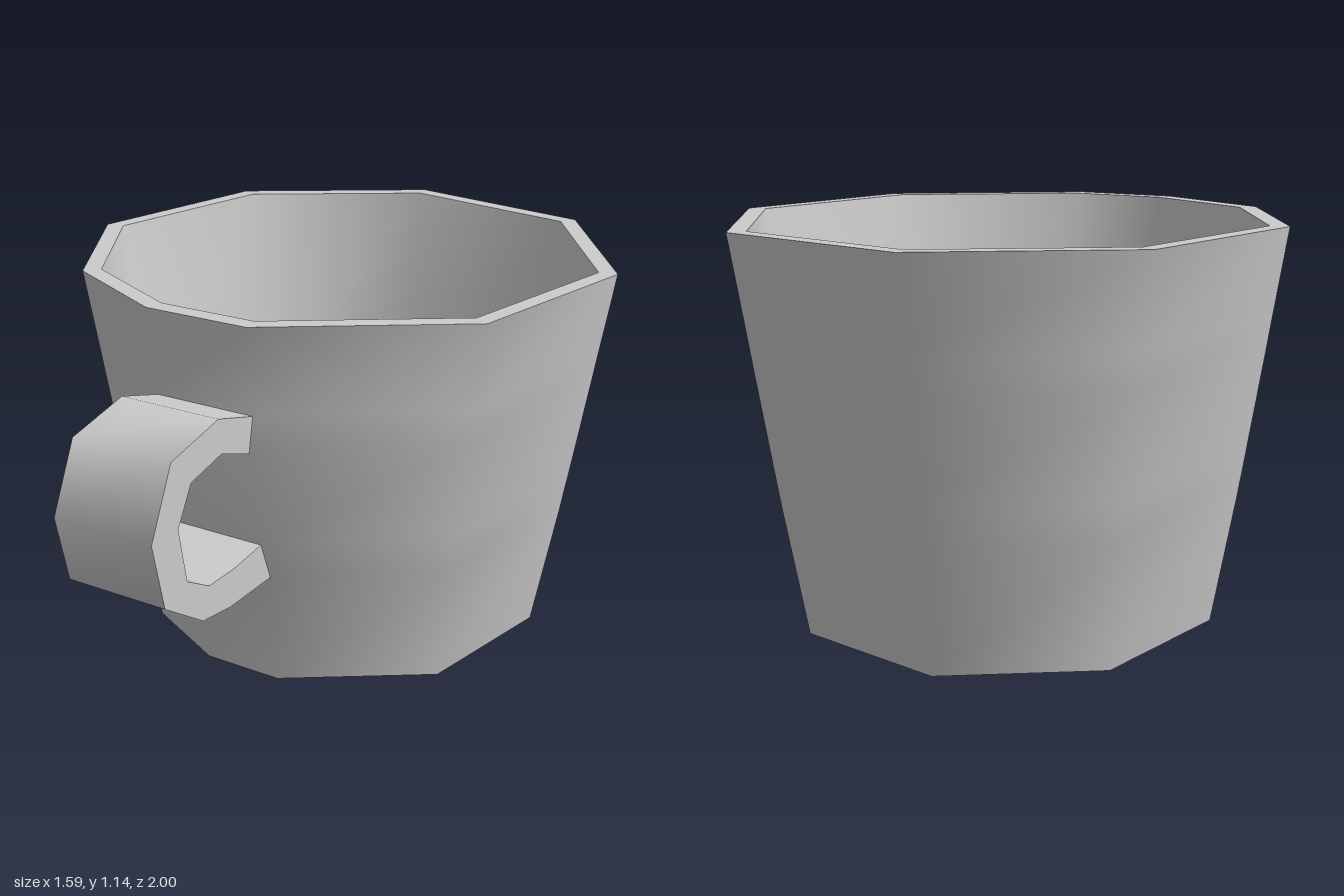
import * as THREE from 'three';
import { mergeVertices, toCreasedNormals } from 'three/addons/utils/BufferGeometryUtils.js';

const HEIGHT = 1.145, CENTRE_Z = -0.21, HALF_WIDTH = 0.155;

// Irregular nine-sided outline of the rim, as [x, z] about the cup's axis
const outline = [
  [-0.16, -1.0], [0.445, -0.885], [0.79, -0.37], [0.67, 0.23], [0.16, 0.58],
  [-0.16, 0.58], [-0.525, 0.4], [-0.795, -0.05], [-0.675, -0.66],
].map(([x, z]) => [x, z - CENTRE_Z]);

// One horizontal ring; frontZ overrides the two corners that carry the handle
function ring(y, scale, frontZ) {
  return outline.map(([x, z], i) => {
    if (frontZ !== undefined && (i === 4 || i === 5)) return [Math.sign(x) * HALF_WIDTH, y, frontZ];
    return [x * scale, y, CENTRE_Z + z * scale];
  });
}

// Smooth skin through a list of rings
function skin(name, rings, material) {
  const n = outline.length, index = [];
  for (let r = 0; r < rings.length - 1; r++) {
    for (let i = 0; i < n; i++) {
      const a = r * n + i, b = r * n + (i + 1) % n;
      index.push(a, a + n, b, b, a + n, b + n);
    }
  }
  const g = new THREE.BufferGeometry();
  g.setAttribute('position', new THREE.Float32BufferAttribute(rings.flat(2), 3));
  g.setIndex(index);
  const merged = mergeVertices(g);
  merged.computeVertexNormals();
  const mesh = new THREE.Mesh(merged, material);
  mesh.name = name;
  return mesh;
}

export function createModel() {
  const group = new THREE.Group();
  group.name = 'cup';
  const material = new THREE.MeshStandardMaterial({ color: 0xcccccc });

  // Tapered wall, swelling slightly where the handle grows out
  const foot = ring(0, 0.766), lip = ring(HEIGHT, 1), innerLip = ring(HEIGHT, 0.932);
  group.add(skin('outerWall', [
    foot,
    ring(0.38, 0.85, 0.475),
    ring(0.5, 0.874, 0.52),
    ring(0.79, 0.931, 0.57),
    ring(0.89, 0.95, 0.55),
    lip,
  ], material));
  group.add(skin('rim', [lip, innerLip], material));

  // Hollow with a rounded floor
  group.add(skin('innerWall', [
    innerLip, ring(0.4, 0.79), ring(0.2, 0.68), ring(0.1, 0.45), ring(0.07, 0),
  ], material));
  group.add(skin('base', [ring(0, 0), foot], material));

  // Handle: a flat band, its side profile given as [z, y], outside then back inside
  const profile = [
    [0.52, 0.885], [0.55, 0.89], [0.705, 0.935], [0.91, 0.89], [1.0, 0.7], [0.957, 0.505],
    [0.797, 0.395], [0.67, 0.378], [0.475, 0.38], [0.45, 0.38],
    [0.47, 0.498], [0.52, 0.5], [0.65, 0.485], [0.765, 0.485], [0.86, 0.54], [0.89, 0.7],
    [0.83, 0.805], [0.695, 0.835], [0.57, 0.79], [0.52, 0.79],
  ].map(([z, y]) => new THREE.Vector2(-z, y));
  const band = new THREE.ExtrudeGeometry(new THREE.Shape(profile), {
    depth: 2 * HALF_WIDTH, bevelEnabled: false,
  });
  band.translate(0, 0, -HALF_WIDTH).rotateY(Math.PI / 2);
  const handle = new THREE.Mesh(toCreasedNormals(band, 1.0), material);
  handle.name = 'handle';
  group.add(handle);

  return group;
}
